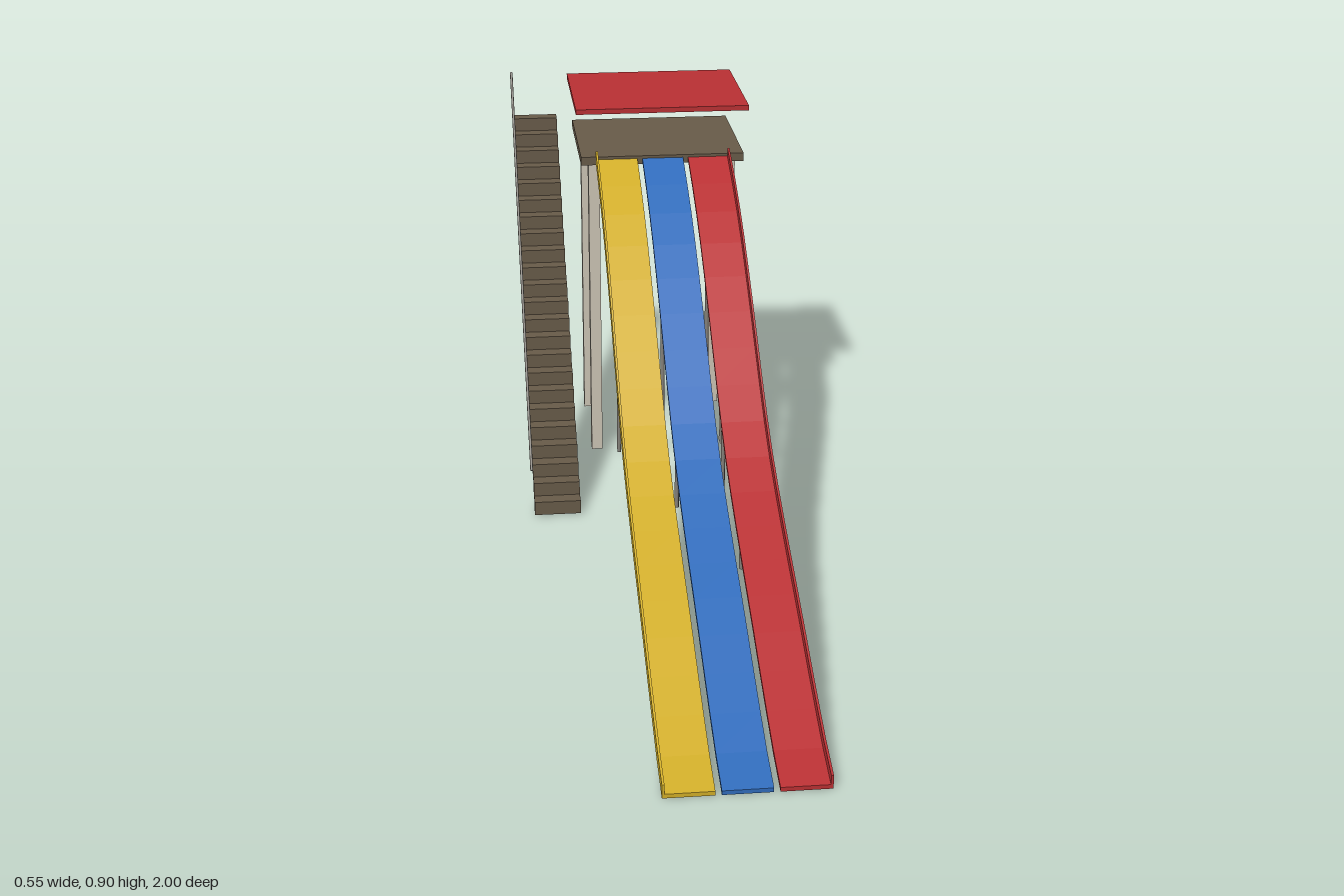
import * as THREE from 'three';

export function createModel() {
  const model = new THREE.Group();
  model.name = 'tripleSlide';

  const mat = (name, color) => {
    const m = new THREE.MeshStandardMaterial({ color });
    m.name = name;
    return m;
  };
  const yellow = mat('yellow', 0xd2ae28);
  const blue = mat('blue', 0x306cbc);
  const red = mat('red', 0xba3033);
  const wood = mat('brown wood', 0x685b49);
  const stone = mat('pale beige', 0xcdc5b6);
  const steel = mat('grey steel', 0x85817a);

  const add = (name, geometry, material, x = 0, y = 0, z = 0) => {
    const mesh = new THREE.Mesh(geometry, material);
    mesh.name = name;
    mesh.position.set(x, y, z);
    model.add(mesh);
    return mesh;
  };
  // Box given by its minimum and maximum on each axis
  const box = (name, material, x0, x1, y0, y1, z0, z1) =>
    add(name, new THREE.BoxGeometry(x1 - x0, y1 - y0, z1 - z0), material,
      (x0 + x1) / 2, (y0 + y1) / 2, (z0 + z1) / 2);

  // Side profile of the slide underside, as (z, y)
  const curve = new THREE.SplineCurve([
    [1, 0.002], [0.9, 0.027], [0.75, 0.082], [0.6, 0.142], [0.45, 0.198], [0.3, 0.258],
    [0.2, 0.305], [0.1, 0.365], [0, 0.438], [-0.1, 0.513], [-0.2, 0.586],
    [-0.3, 0.652], [-0.4, 0.707], [-0.53, 0.765],
  ].map(([z, y]) => new THREE.Vector2(z, y)));
  const profile = curve.getSpacedPoints(18);

  // Strip following the profile with the given thickness, extruded across x
  const strip = (name, material, x0, x1, thickness) => {
    const top = profile.map((p, i) => {
      const t = curve.getTangentAt(i / 18);
      const end = i === 0 || i === 18;
      return end ? new THREE.Vector2(p.x, p.y + thickness)
        : new THREE.Vector2(p.x + t.y * thickness, p.y - t.x * thickness);
    });
    const shape = new THREE.Shape([...profile, ...top.reverse()]);
    const g = new THREE.ExtrudeGeometry(shape, { depth: x1 - x0, bevelEnabled: false });
    g.rotateY(-Math.PI / 2);
    add(name, g, material, x1, 0, 0);
  };

  // Three lanes, each with a row of support posts
  const lanes = [['yellow', yellow, -0.09], ['blue', blue, 0.02], ['red', red, 0.13]];
  const posts = [[-0.53, 0.765], [-0.2, 0.588], [0.125, 0.352], [0.45, 0.2]];
  for (const [name, material, x] of lanes) {
    strip(name + 'Lane', material, x, x + 0.098, 0.009);
    for (const [z, height] of posts) {
      add('slidePost', new THREE.CylinderGeometry(0.005, 0.005, height - 0.005, 8),
        steel, x + 0.049, (height + 0.005) / 2, z);
    }
  }

  // Raised walls on the outer edges
  strip('rightSideWall', yellow, -0.092, -0.087, 0.029);
  strip('leftSideWall', red, 0.225, 0.23, 0.029);

  // Platform, roof and pillars
  box('platform', wood, -0.127, 0.265, 0.76, 0.78, -0.867, -0.532);
  box('roof', red, -0.138, 0.276, 0.885, 0.897, -0.88, -0.532);
  for (const x of [-0.095, 0.233]) {
    for (const z of [-0.565, -0.838]) {
      box('pillar', stone, x - 0.0135, x + 0.0135, 0.005, 0.762, z - 0.0135, z + 0.0135);
    }
  }

  // Staircase rising towards the back
  const steps = 23;
  for (let i = 0; i < steps; i++) {
    const y = 0.005 + i * 0.0328;
    const z = -0.208 - i * 0.0352;
    box('step', wood, -0.27, -0.161, y, y + 0.033, z - 0.018, z + 0.018);
  }

  // Sloping handrail on the outer side of the stairs
  const from = new THREE.Vector3(-0.275, 0.114, -0.206);
  const to = new THREE.Vector3(-0.275, 0.88, -0.97);
  const rail = add('handrail',
    new THREE.CylinderGeometry(0.0033, 0.0033, from.distanceTo(to), 8), steel);
  rail.position.copy(from).lerp(to, 0.5);
  rail.quaternion.setFromUnitVectors(new THREE.Vector3(0, 1, 0), to.clone().sub(from).normalize());

  return model;
}
